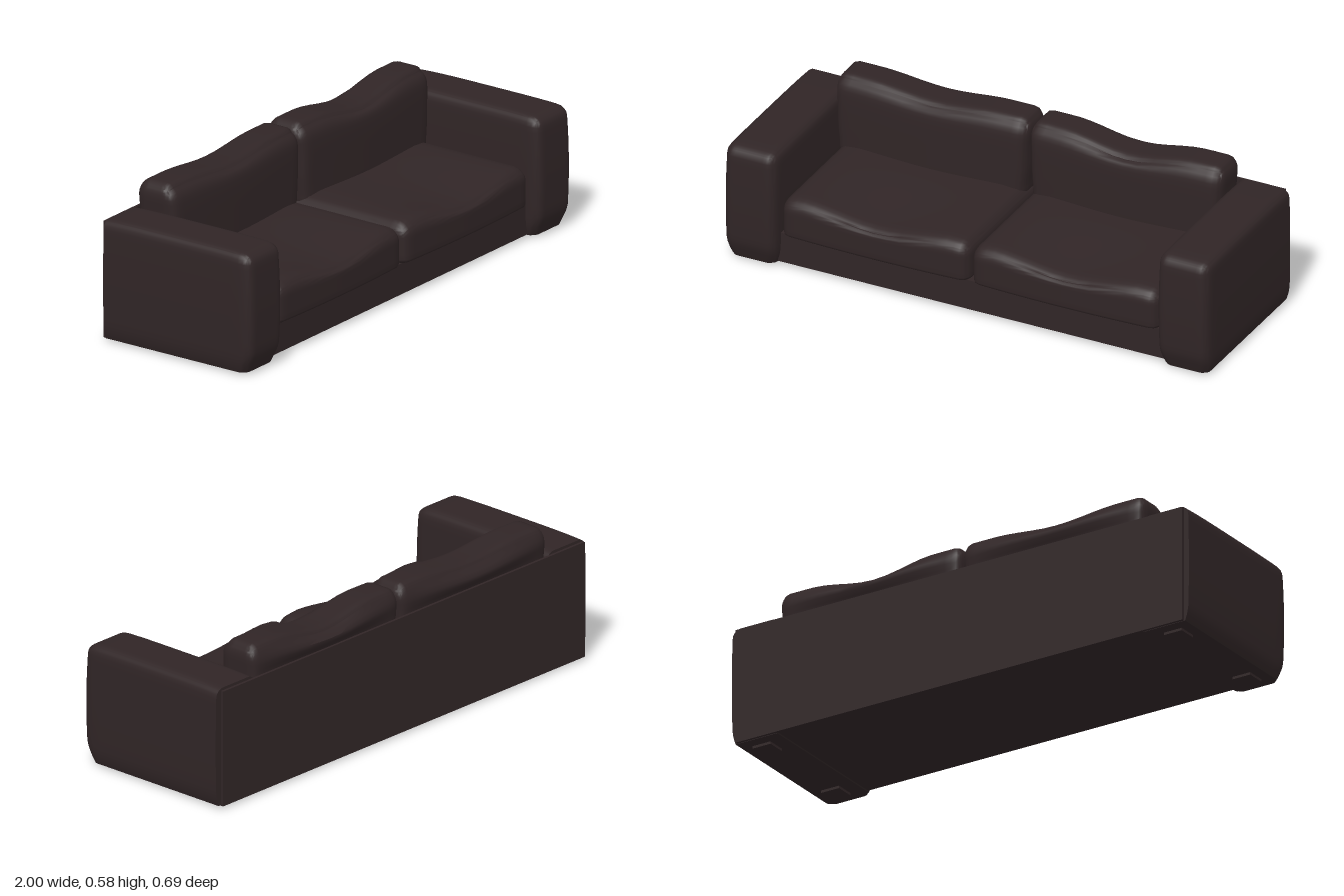
import * as THREE from 'three';
import { mergeVertices, toCreasedNormals } from 'three/addons/utils/BufferGeometryUtils.js';

const leather = new THREE.MeshStandardMaterial({ color: 0x302526 });
leather.name = 'dark brown leather';

// Box from lo to hi whose edges are rounded by a radius per axis and side (0 keeps that side flat).
// shape(p, t) then moves each point; t is its place in the box, -1 to 1 per axis.
function softBox(lo, hi, rLo, rHi, shape) {
  const n = 22;
  let geo = new THREE.BoxGeometry(2, 2, 2, n, n, n);
  geo.deleteAttribute('uv');
  geo.deleteAttribute('normal');
  geo = mergeVertices(geo);
  const pos = geo.attributes.position;
  for (let i = 0; i < pos.count; i++) {
    // crowd the grid lines towards the edges
    const t = [pos.getX(i), pos.getY(i), pos.getZ(i)].map(v => Math.sin(v * Math.PI / 2));
    const p = t.map((v, k) => (lo[k] + hi[k]) / 2 + v * (hi[k] - lo[k]) / 2);
    const e = p.map((v, k) => {
      if (rHi[k] && v > hi[k] - rHi[k]) return (v - hi[k] + rHi[k]) / rHi[k];
      if (rLo[k] && v < lo[k] + rLo[k]) return (v - lo[k] - rLo[k]) / rLo[k];
      return 0;
    });
    const len = Math.hypot(...e);
    if (len > 0) {
      const s = Math.max(...e.map(Math.abs)) / len;
      e.forEach((v, k) => { p[k] += v * (s - 1) * (v > 0 ? rHi[k] : rLo[k]); });
    }
    shape(p, t);
    pos.setXYZ(i, ...p);
  }
  return toCreasedNormals(geo, 0.8);
}

const bell = (v, w) => Math.exp(-(v * v) / (w * w));

export function createModel() {
  const sofa = new THREE.Group();
  sofa.name = 'sofa';
  const add = (name, geo, x = 0, y = 0, z = 0) => {
    const mesh = new THREE.Mesh(geo, leather);
    mesh.name = name;
    mesh.position.set(x, y, z);
    sofa.add(mesh);
  };
  const box = (name, x0, x1, y0, y1, z0, z1) =>
    add(name, new THREE.BoxGeometry(x1 - x0, y1 - y0, z1 - z0), (x0 + x1) / 2, (y0 + y1) / 2, (z0 + z1) / 2);

  // Base under the seats and thin panel behind
  box('base', -0.8, 0.8, 0.014, 0.135, -0.32, 0.285);
  box('backPanel', -0.98, 0.975, 0.01, 0.465, -0.336, -0.325);

  // Padded arm: flat below and behind, rounded on top and in front
  const arm = softBox([-0.103, 0.01, -0.322], [0.103, 0.474, 0.336], [0.035, 0, 0], [0.035, 0.035, 0.045], (p, t) => {
    const low = Math.max(0, (0.08 - p[1]) / 0.07);
    p[0] *= 1 - 0.12 * low * low + 0.04 * (1 - t[1] * t[1]);
    if (t[2] > 0.8) p[2] += 0.009 * (1 - t[1] * t[1]) - 0.025 * low * (t[2] - 0.8) / 0.2;
    if (t[1] > 0.8) p[1] += 0.005 * (1 - t[2] ** 4);
  });

  // Seat cushion: soft, with a dip in the front edge
  const seat = softBox([-0.387, 0.13, -0.3], [0.387, 0.302, 0.31], [0.035, 0.02, 0.04], [0.035, 0.06, 0.05], (p, t) => {
    const up = Math.max(0, t[1]);
    const front = THREE.MathUtils.smoothstep(t[2], -0.3, 0.9);
    p[1] -= up * bell(t[0], 0.55) * (0.008 + 0.03 * front);
    p[1] -= up * 0.012 * Math.max(0, Math.abs(t[0]) - 0.75) * 4;
    if (t[2] > 0) p[2] += 0.012 * t[2] * (1 - t[0] * t[0]);
  });

  // Back cushion: sagging top edge, bulging over the back panel
  const backCushion = sag => softBox([-0.393, 0.25, -0.322], [0.393, 0.577, -0.15], [0.03, 0.03, 0.04], [0.03, 0.06, 0.05], (p, t) => {
    const up = Math.max(0, t[1]);
    if (Math.abs(t[0]) < 0.7) p[1] -= up * up * sag * (0.5 + 0.5 * Math.cos(t[0] * Math.PI / 0.7));
    const puff = 1 - t[0] * t[0];
    if (t[2] < 0) p[2] += 0.024 * t[2] * bell(t[1] - 0.6, 0.18) * puff;
    else p[2] += t[2] * (0.012 * puff - 0.015 * up ** 3);
    p[0] *= 1 + 0.012 * bell(t[1] - 0.7, 0.3) - 0.02 * bell(t[1] + 0.8, 0.4);
  });

  for (const side of [1, -1]) {
    const name = side > 0 ? 'left' : 'right';
    add(name + 'Arm', arm, side * 0.893);
    add(name + 'SeatCushion', seat, side * 0.392);
    add(name + 'BackCushion', backCushion(side > 0 ? 0.036 : 0.02), side * 0.4);
    // Low square feet under the arm
    for (const z of [0.221, -0.238]) {
      add(name + (z > 0 ? 'FrontFoot' : 'BackFoot'), new THREE.BoxGeometry(0.078, 0.016, 0.077), side * 0.9, 0.008, z);
    }
  }
  return sofa;
}
